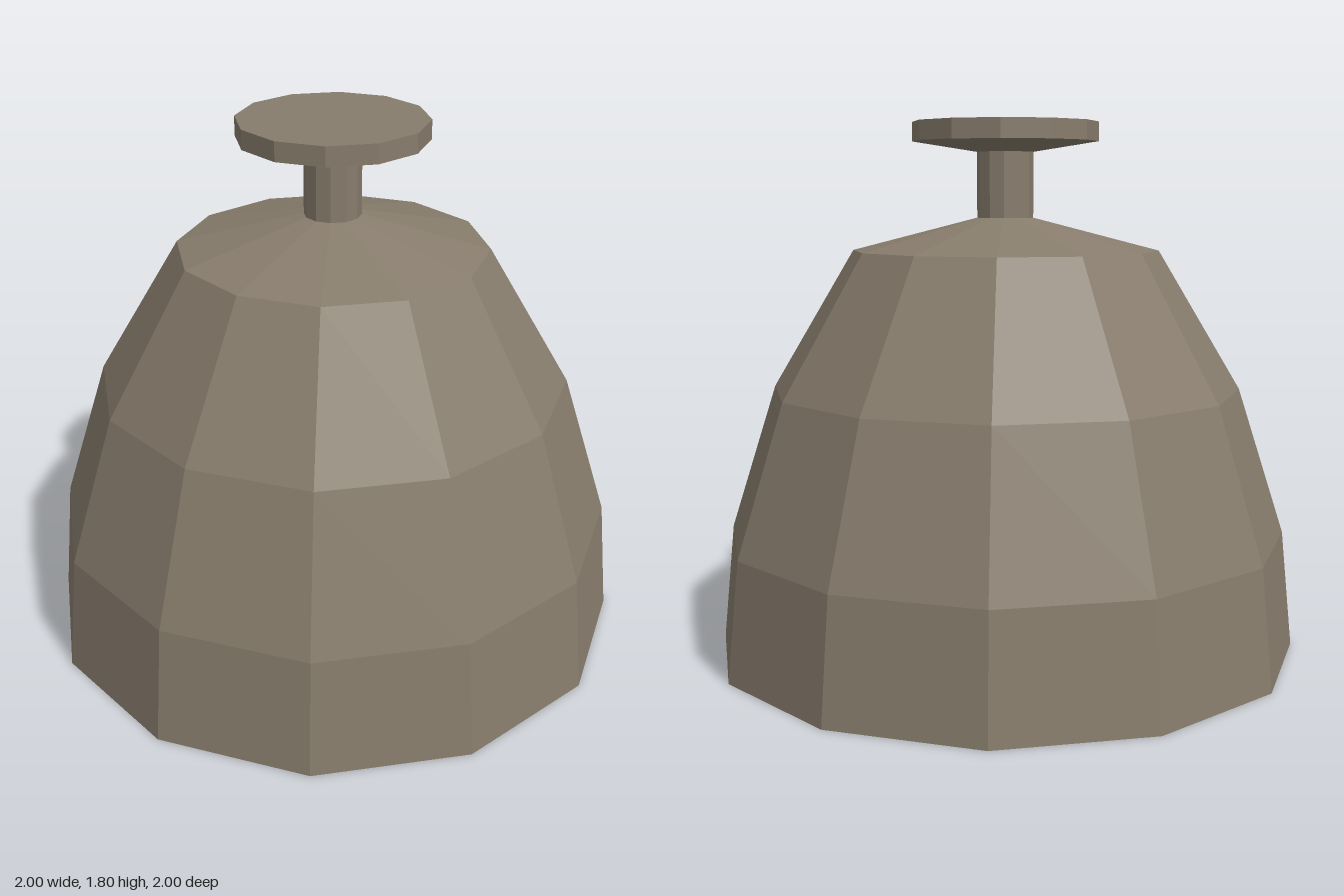
import * as THREE from 'three';

const SIDES = 12;

export function createModel() {
  const group = new THREE.Group();
  group.name = 'domedBell';

  const taupe = new THREE.MeshStandardMaterial({
    color: 0x877c6c, flatShading: true, side: THREE.DoubleSide,
  });
  taupe.name = 'taupe';

  // Adds a faceted part turned from a [radius, height] profile
  const turned = (name, profile) => {
    const points = profile.map(([r, y]) => new THREE.Vector2(r, y));
    const mesh = new THREE.Mesh(new THREE.LatheGeometry(points, SIDES), taupe);
    mesh.name = name;
    group.add(mesh);
  };

  // Open-bottomed hollow shell
  turned('shell', [[1, 0], [0.96, 0.4], [0.8, 0.9], [0.52, 1.37]]);
  // Shallow cone closing the shell
  turned('shoulder', [[0.52, 1.37], [0.095, 1.48]]);
  // Narrow neck
  turned('stem', [[0.095, 1.48], [0.095, 1.7]]);
  // Flat knob with a tapered underside
  turned('knob', [[0.095, 1.7], [0.315, 1.735], [0.315, 1.8], [0, 1.8]]);

  return group;
}
